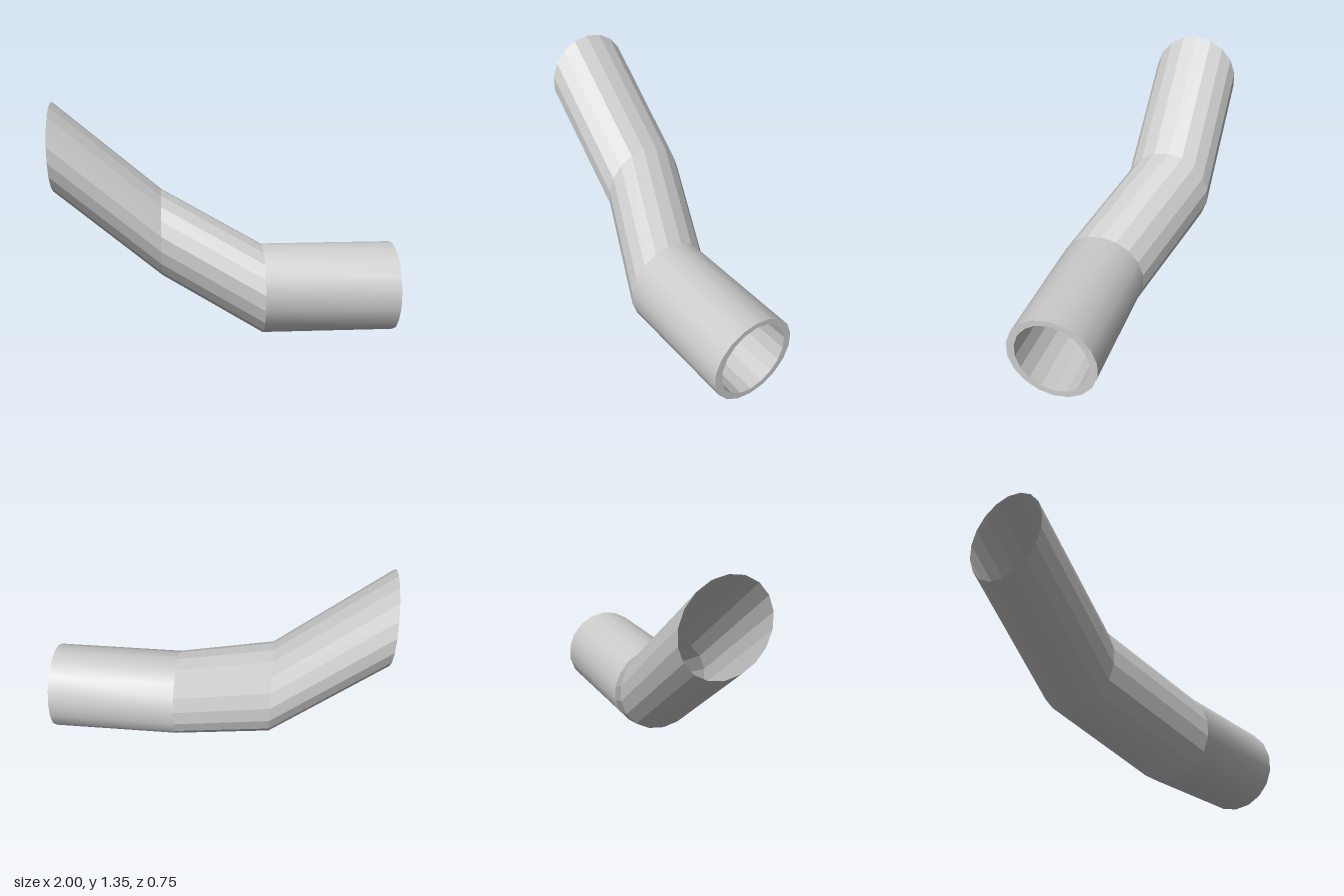
import * as THREE from 'three';

const SIDES = 18;

// Skins a list of upright elliptical rings {x, y, z, ry, rz} into a surface.
function skin(name, rings, smooth = false) {
  const pos = [], idx = [];
  for (const s of rings) {
    for (let k = 0; k < SIDES; k++) {
      const a = (k / SIDES) * Math.PI * 2;
      pos.push(s.x, s.y + s.ry * Math.cos(a), s.z + s.rz * Math.sin(a));
    }
  }
  for (let i = 0; i < rings.length - 1; i++) {
    for (let k = 0; k < SIDES; k++) {
      const n = (k + 1) % SIDES;
      const a = i * SIDES + k, b = i * SIDES + n;
      idx.push(a, a + SIDES, b, b, a + SIDES, b + SIDES);
    }
  }
  let geo = new THREE.BufferGeometry();
  geo.setAttribute('position', new THREE.Float32BufferAttribute(pos, 3));
  geo.setIndex(idx);
  if (!smooth) geo = geo.toNonIndexed();
  geo.computeVertexNormals();
  const mesh = new THREE.Mesh(geo, new THREE.MeshStandardMaterial({
    color: 0xcccccc, side: THREE.DoubleSide, flatShading: !smooth,
  }));
  mesh.name = name;
  return mesh;
}

export function createModel() {
  const group = new THREE.Group();
  group.name = 'bentPipe';

  const ring = (x, y, z, ry = 0.264, rz = 0.264) => ({ x, y, z, ry, rz });
  const mouth = ring(1, 0.264, 0.115);
  const firstBend = ring(0.22, 0.264, 0.115);
  const secondBend = ring(-0.37, 0.553, -0.115);
  const farEnd = ring(-1, 1.087, -0.115);
  const boreMouth = ring(1, 0.266, 0.115, 0.229, 0.217);
  const boreEnd = { ...boreMouth, x: 0.22 };
  const boreCentre = { ...boreEnd, ry: 0, rz: 0 };

  // Outer wall: smooth straight length, then two faceted slanted lengths
  group.add(skin('straightSection', [mouth, firstBend], true));
  group.add(skin('middleSection', [firstBend, secondBend]));
  group.add(skin('upperSection', [secondBend, farEnd]));

  // Thick mouth with a blind bore
  group.add(skin('mouthRim', [boreMouth, mouth]));
  group.add(skin('boreWall', [boreEnd, boreMouth]));
  group.add(skin('boreFloor', [boreCentre, boreEnd]));
  return group;
}
